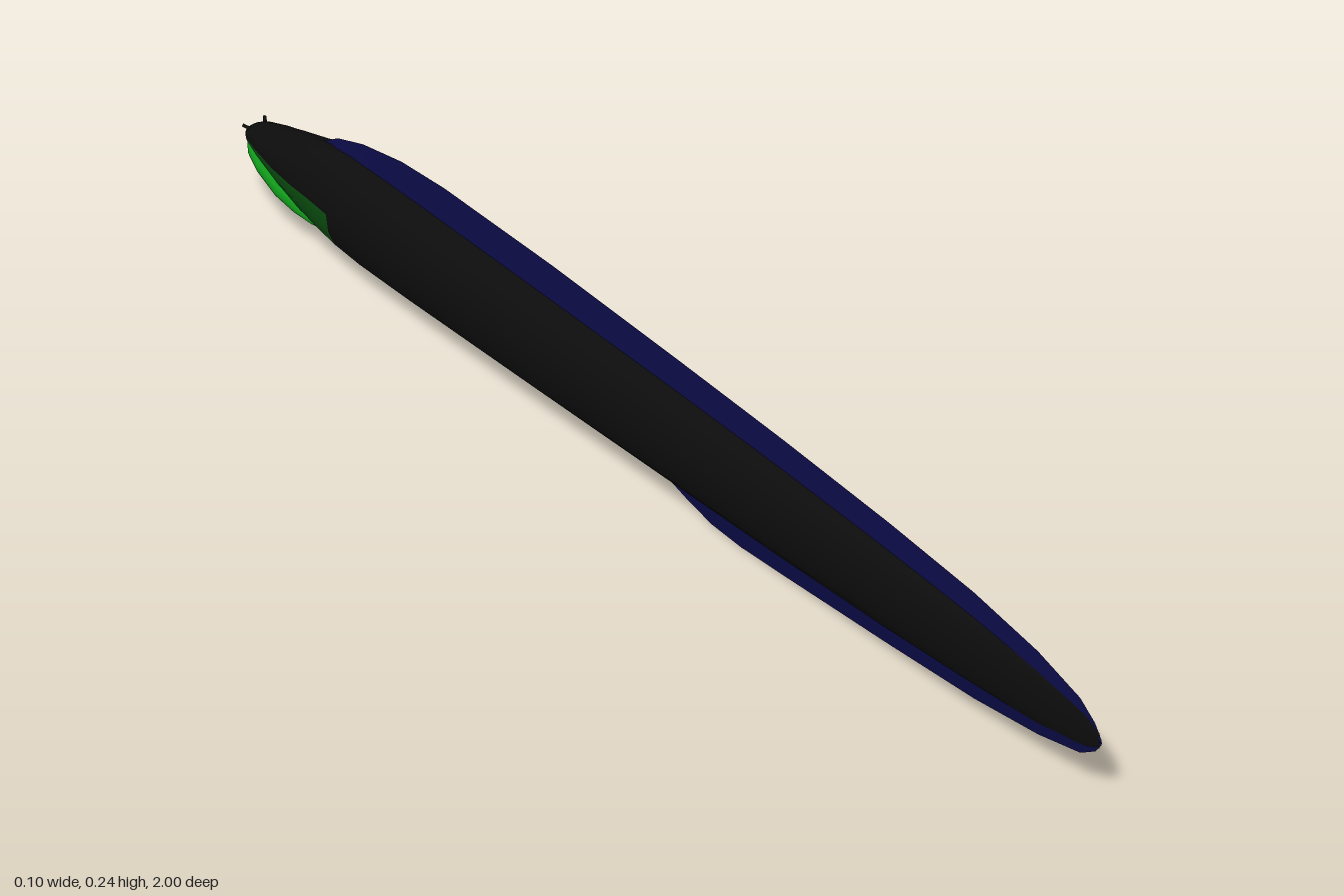
import * as THREE from 'three';

const mat = (name, color, side = THREE.FrontSide) => {
  const m = new THREE.MeshStandardMaterial({ color, side });
  m.name = name;
  return m;
};

// Skin through elliptical sections [z, halfWidth, top, bottom], running from +z to -z.
// Faces on the lower half beyond splitZ go to the second material group.
function loft(stations, sides, splitZ = -9) {
  const rows = [stations[0], ...stations, stations[stations.length - 1]];
  const pos = [], upper = [], lower = [];
  rows.forEach(([z, w, top, bottom], j) => {
    const k = j === 0 || j === rows.length - 1 ? 0 : 1; // closed ends
    for (let i = 0; i < sides; i++) {
      const a = (i / sides) * Math.PI * 2;
      pos.push(k * w * Math.cos(a), (top + bottom) / 2 + k * (top - bottom) / 2 * Math.sin(a), z);
    }
  });
  for (let j = 0; j < rows.length - 1; j++) {
    for (let i = 0; i < sides; i++) {
      const n = (i + 1) % sides, a = j * sides, b = a + sides;
      const list = rows[j][0] <= splitZ && i >= sides / 2 ? lower : upper;
      list.push(a + i, b + i, b + n, a + i, b + n, a + n);
    }
  }
  const g = new THREE.BufferGeometry();
  g.setAttribute('position', new THREE.Float32BufferAttribute(pos, 3));
  g.setIndex([...upper, ...lower]);
  g.addGroup(0, upper.length, 0);
  g.addGroup(upper.length, lower.length, 1);
  g.computeVertexNormals();
  return g;
}

// Wedge-shaped fin from rows [z, baseY, edgeY, halfThickness]
function fin(rows) {
  const pos = [], index = [];
  for (const s of [-1, 1]) {
    const o = pos.length / 3;
    rows.forEach(([z, base, edge, t], j) => {
      pos.push(s * t, base, z, 0, edge, z);
      if (j) {
        const a = o + j * 2 - 2;
        const flip = s * (rows[1][2] - rows[1][1]) > 0;
        if (flip) index.push(a, a + 2, a + 3, a, a + 3, a + 1);
        else index.push(a, a + 3, a + 2, a, a + 1, a + 3);
      }
    });
  }
  const g = new THREE.BufferGeometry();
  g.setAttribute('position', new THREE.Float32BufferAttribute(pos, 3));
  g.setIndex(index);
  g.computeVertexNormals();
  return g;
}

export function createModel() {
  const black = mat('black skin', 0x0d0d0d);
  const blue = mat('dark blue fin', 0x0c0c48, THREE.DoubleSide);
  const throatGreen = mat('dark green throat', 0x0b4f10);
  const jawGreen = mat('green jaw', 0x109a1a);
  const group = new THREE.Group();
  const add = (name, geometry, material) => {
    const m = new THREE.Mesh(geometry, material);
    m.name = name;
    group.add(m);
    return m;
  };

  // Long body, tail at +z and head at -z, with a green throat
  add('body', loft([
    [0.995, 0.001, 0.12, 0.095], [0.95, 0.004, 0.142, 0.077], [0.85, 0.01, 0.157, 0.063],
    [0.7, 0.019, 0.17, 0.054], [0.5, 0.029, 0.18, 0.046], [0.25, 0.038, 0.187, 0.04],
    [0, 0.045, 0.19, 0.037], [-0.3, 0.051, 0.191, 0.033], [-0.6, 0.052, 0.191, 0.028],
    [-0.7, 0.052, 0.19, 0.028], [-0.76, 0.051, 0.188, 0.032], [-0.81, 0.049, 0.183, 0.041],
    [-0.85, 0.046, 0.17, 0.051], [-0.9, 0.041, 0.156, 0.065], [-0.95, 0.033, 0.141, 0.085],
    [-0.985, 0.024, 0.129, 0.098], [-0.997, 0.016, 0.122, 0.103],
  ], 16, -0.76), [black, throatGreen]);

  // Lower jaw bulging out of the throat
  add('lowerJaw', loft([
    [-0.81, 0.01, 0.052, 0.041], [-0.83, 0.026, 0.068, 0.039], [-0.86, 0.035, 0.083, 0.043],
    [-0.9, 0.039, 0.094, 0.052], [-0.95, 0.033, 0.103, 0.066], [-0.98, 0.024, 0.106, 0.077],
    [-0.995, 0.014, 0.107, 0.087],
  ], 16), jawGreen);

  // Dorsal fin along nearly the whole back
  add('dorsalFin', fin([
    [1, 0.107, 0.111, 0.001], [0.985, 0.11, 0.132, 0.001], [0.95, 0.138, 0.156, 0.002],
    [0.85, 0.152, 0.183, 0.004], [0.7, 0.165, 0.204, 0.005], [0.5, 0.175, 0.218, 0.006],
    [0.25, 0.183, 0.229, 0.006], [0, 0.186, 0.236, 0.006], [-0.3, 0.187, 0.242, 0.006],
    [-0.55, 0.187, 0.241, 0.006], [-0.65, 0.187, 0.234, 0.006], [-0.74, 0.185, 0.217, 0.006],
    [-0.8, 0.181, 0.197, 0.005], [-0.83, 0.172, 0.178, 0.003],
  ]), blue);

  // Anal fin under the tail half
  add('analFin', fin([
    [1, 0.107, 0.103, 0.001], [0.985, 0.104, 0.085, 0.001], [0.95, 0.081, 0.065, 0.002],
    [0.85, 0.068, 0.045, 0.004], [0.7, 0.058, 0.028, 0.005], [0.5, 0.05, 0.016, 0.006],
    [0.25, 0.044, 0.004, 0.006], [0.15, 0.043, 0, 0.006], [0.08, 0.042, 0.003, 0.006],
    [0.02, 0.041, 0.016, 0.005], [-0.02, 0.041, 0.027, 0.004], [-0.06, 0.041, 0.035, 0.002],
  ]), blue);

  // Pair of small nostril tubes on the snout
  for (const s of [-1, 1]) {
    const tube = add(s > 0 ? 'leftNostril' : 'rightNostril',
      new THREE.CylinderGeometry(0.0025, 0.003, 0.02, 8), black);
    tube.position.set(s * 0.014, 0.122, -0.991);
    tube.quaternion.setFromUnitVectors(new THREE.Vector3(0, 1, 0),
      new THREE.Vector3(s * 0.5, 0.3, -0.8).normalize());
  }
  return group;
}
